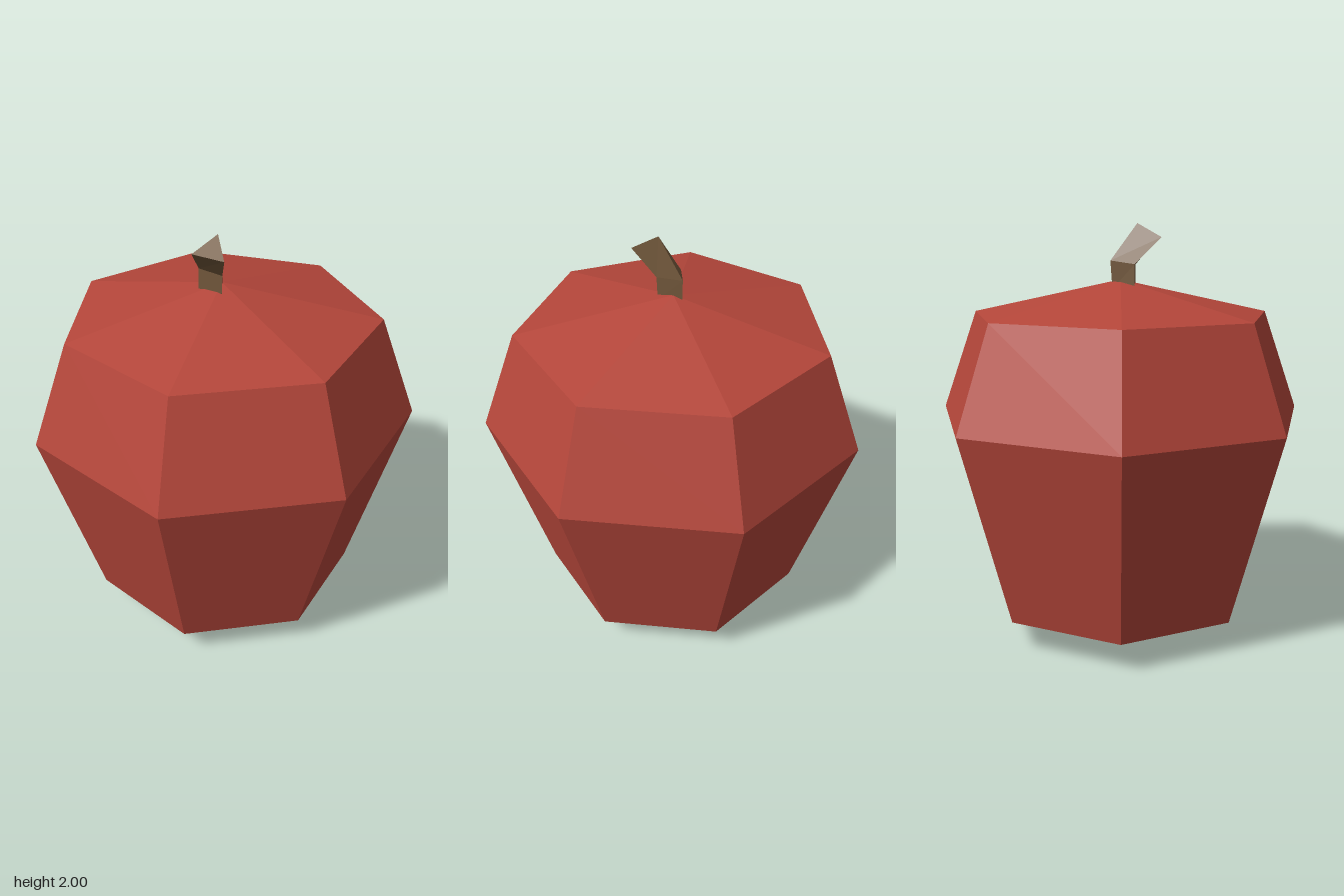
import * as THREE from 'three';

const skin = new THREE.MeshStandardMaterial({ color: 0xb4463a, flatShading: true });
skin.name = 'red skin';
const bark = new THREE.MeshStandardMaterial({ color: 0x70563a, flatShading: true });
bark.name = 'brown stem';

// Joins rings of [x, y, z] corners (counter-clockwise from above, bottom to top), capping both ends.
function loft(rings) {
  const n = rings[0].length, index = [], last = (rings.length - 1) * n;
  for (let r = 0; r < rings.length - 1; r++) {
    for (let i = 0; i < n; i++) {
      const a = r * n + i, b = r * n + (i + 1) % n;
      index.push(a, b, b + n, a, b + n, a + n);
    }
  }
  for (let i = 1; i < n - 1; i++) {
    index.push(0, i + 1, i, last, last + i, last + i + 1);
  }
  const geometry = new THREE.BufferGeometry();
  geometry.setAttribute('position', new THREE.Float32BufferAttribute(rings.flat(2), 3));
  geometry.setIndex(index);
  const flat = geometry.toNonIndexed();
  flat.computeVertexNormals();
  return flat;
}

export function createModel() {
  const group = new THREE.Group();
  group.name = 'fruit';

  // Seven-sided body, one corner pointing to the back
  const profile = [[0, 0], [0.655, 0.15], [0.923, 1.08], [0.743, 1.57], [0, 1.735]]
    .map(([r, y]) => new THREE.Vector2(r, y));
  const bodyGeometry = new THREE.LatheGeometry(profile, 7, Math.PI).toNonIndexed();
  bodyGeometry.computeVertexNormals();
  const body = new THREE.Mesh(bodyGeometry, skin);
  body.name = 'body';
  body.position.z = 0.043;
  group.add(body);

  // Three-sided stem, bent forward and to its left
  const stem = new THREE.Mesh(loft([
    [[-0.03, 1.69, 0.01], [-0.07, 1.69, 0.125], [0.055, 1.69, 0.105]],
    [[-0.03, 1.825, 0.0], [-0.065, 1.81, 0.125], [0.06, 1.805, 0.105]],
    [[0.045, 2.0, 0.115], [0.005, 1.935, 0.24], [0.15, 1.925, 0.19]],
  ]), bark);
  stem.name = 'stem';
  group.add(stem);

  return group;
}
